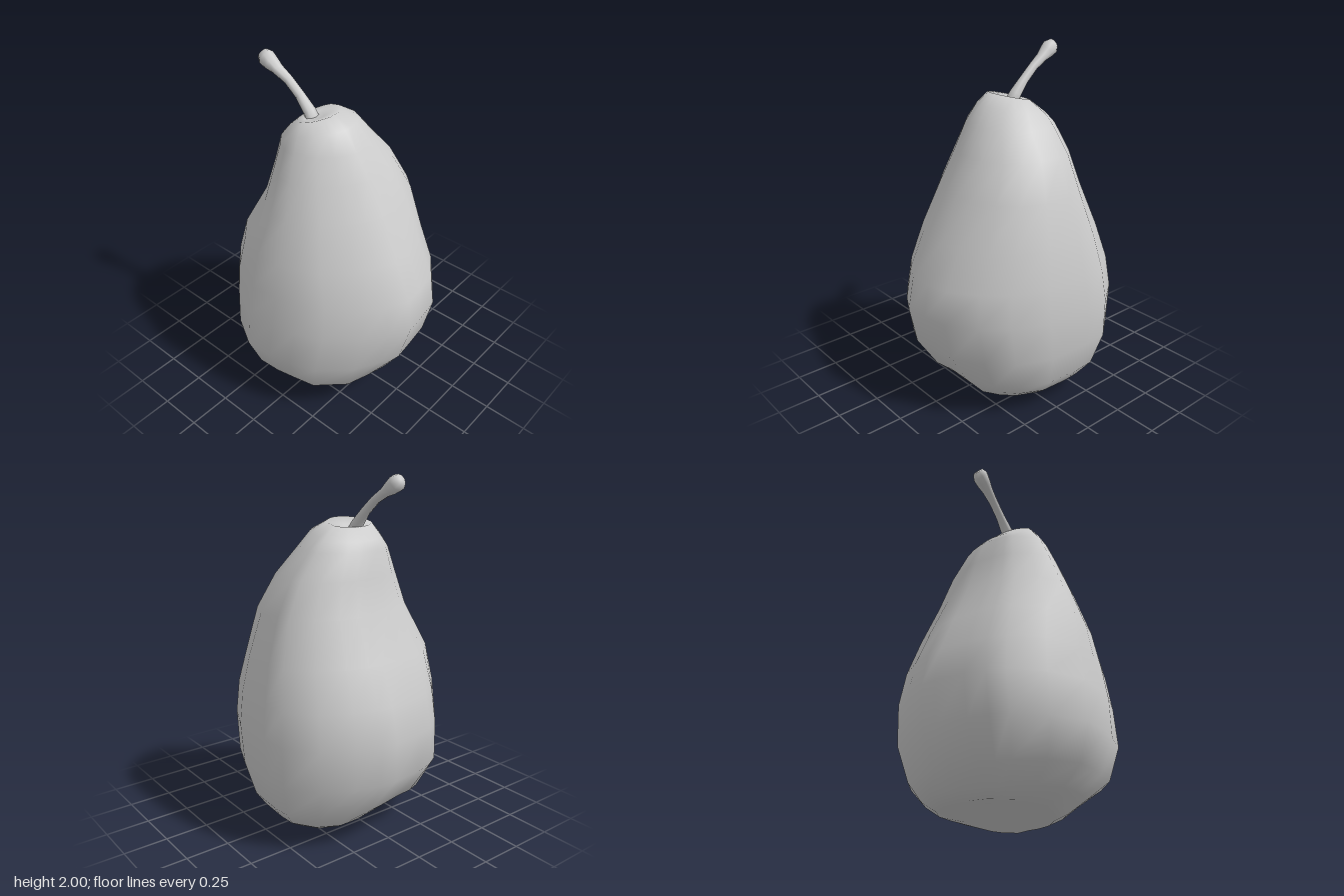
import * as THREE from 'three';

// Joins closed rings of points (bottom to top) into one smooth, capped skin.
function loft(rings) {
  const n = rings[0].length, pos = [], index = [];
  rings.forEach((ring) => ring.forEach((p) => pos.push(p.x, p.y, p.z)));
  for (let i = 0; i < rings.length - 1; i++) {
    for (let j = 0; j < n; j++) {
      const k = (j + 1) % n;
      const a = i * n + j, b = i * n + k, c = a + n, d = b + n;
      index.push(a, b, d, a, d, c);
    }
  }
  // Close both ends with a fan around the ring's middle
  const cap = (ring, start, up) => {
    const m = ring.reduce((s, p) => s.add(p), new THREE.Vector3()).divideScalar(n);
    const mid = pos.length / 3;
    pos.push(m.x, m.y, m.z);
    for (let j = 0; j < n; j++) {
      const a = start + j, b = start + (j + 1) % n;
      if (up) index.push(a, b, mid); else index.push(b, a, mid);
    }
  };
  cap(rings[0], 0, false);
  cap(rings[rings.length - 1], (rings.length - 1) * n, true);
  const g = new THREE.BufferGeometry();
  g.setAttribute('position', new THREE.Float32BufferAttribute(pos, 3));
  g.setIndex(index);
  g.computeVertexNormals();
  return g;
}

// Lumpy cross-section, from the front ridge round by the left side (x, z)
const outline = [
  [-0.08, 0.61], [0.05, 0.595], [0.2, 0.572], [0.355, 0.46], [0.47, 0.33], [0.565, 0.13],
  [0.58, -0.14], [0.57, -0.295], [0.445, -0.465], [0.28, -0.555], [0.14, -0.6], [0.04, -0.61],
  [-0.14, -0.59], [-0.255, -0.56], [-0.34, -0.51], [-0.48, -0.36], [-0.58, -0.17],
  [-0.57, 0], [-0.535, 0.14], [-0.47, 0.295], [-0.32, 0.46], [-0.2, 0.545],
];

// Levels: y, min x, max x, front z, back z, slope of y along z
const levels = [
  [0.05, -0.1, 0.12, 0.09, -0.12, -0.14],
  [0.034, -0.23, 0.28, 0.19, -0.21, -0.19],
  [0.058, -0.3, 0.38, 0.29, -0.33, -0.04],
  [0.12, -0.39, 0.46, 0.36, -0.4, 0],
  [0.21, -0.51, 0.525, 0.44, -0.5, 0],
  [0.4, -0.58, 0.575, 0.555, -0.595, 0],
  [0.63, -0.56, 0.58, 0.61, -0.61, 0],
  [0.82, -0.525, 0.56, 0.58, -0.57, 0],
  [1.03, -0.485, 0.52, 0.48, -0.48, 0],
  [1.27, -0.4, 0.445, 0.355, -0.372, 0],
  [1.46, -0.33, 0.36, 0.25, -0.32, 0],
  [1.6, -0.27, 0.25, 0.18, -0.285, 0],
  [1.675, -0.225, 0.19, 0.105, -0.245, 0.16],
  [1.735, -0.175, 0.1, 0.015, -0.17, 0.22],
  [1.71, -0.1, 0.01, -0.06, -0.15, 0.2],
];

// Swellings and dents: centre x, y, z, reach, outward push
const lumps = [
  [-0.4, 0.2, 0.34, 0.2, 0.075],
  [0.42, 0.27, 0.36, 0.18, 0.03],
  [0.24, 1.32, 0.22, 0.22, 0.04],
  [-0.38, 0.98, -0.36, 0.22, 0.045],
  [-0.08, 0.13, -0.4, 0.18, -0.055],
  [0.27, 0.12, -0.34, 0.14, 0.035],
  [0.04, 0.1, 0.42, 0.12, -0.035],
];

function fruitPoint([ox, oz], [y0, x0, x1, zf, zb, slope]) {
  const zc = (zf + zb) / 2;
  const p = new THREE.Vector3(
    (x0 + x1) / 2 + (ox / 0.58) * (x1 - x0) / 2, y0, zc + (oz / 0.61) * (zf - zb) / 2);
  p.y += slope * (p.z - zc);
  // Hollow between the two lobes of the base
  p.y += 0.018 * Math.exp(-((p.x / 0.1) ** 2) - (y0 / 0.15) ** 2);
  const out = new THREE.Vector3(p.x, 0, p.z).normalize();
  const push = lumps.reduce((sum, [x, y, z, reach, amount]) =>
    sum + amount * Math.exp(-p.distanceToSquared(new THREE.Vector3(x, y, z)) / reach ** 2), 0);
  return p.addScaledVector(out, push);
}

function fruitGeometry() {
  return loft(levels.map((level) => outline.map((o) => fruitPoint(o, level))));
}

// Stem stations: x, y, z, half width, half thickness
const stations = [
  [-0.045, 1.67, -0.11, 0.046, 0.036],
  [-0.045, 1.73, -0.145, 0.038, 0.03],
  [-0.046, 1.8, -0.21, 0.028, 0.025],
  [-0.05, 1.865, -0.285, 0.028, 0.024],
  [-0.058, 1.908, -0.355, 0.036, 0.027],
  [-0.063, 1.933, -0.395, 0.045, 0.04],
  [-0.066, 1.957, -0.43, 0.047, 0.048],
  [-0.067, 1.974, -0.455, 0.03, 0.034],
];

function stemGeometry() {
  const centres = stations.map(([x, y, z]) => new THREE.Vector3(x, y, z));
  const side = new THREE.Vector3(1, 0, 0);
  const last = centres.length - 1;
  return loft(stations.map(([, , , w, t], i) => {
    const dir = centres[Math.min(i + 1, last)].clone().sub(centres[Math.max(i - 1, 0)]).normalize();
    const normal = side.clone().cross(dir).normalize();
    return Array.from({ length: 8 }, (_, j) => {
      const a = (j / 8) * Math.PI * 2;
      return centres[i].clone()
        .addScaledVector(side, Math.sin(a) * w)
        .addScaledVector(normal, Math.cos(a) * t);
    });
  }));
}

export function createModel() {
  const grey = new THREE.MeshStandardMaterial({ color: 0xcccccc });
  grey.name = 'plain grey';
  const model = new THREE.Group();
  model.name = 'pear';
  const add = (name, geometry) => {
    const mesh = new THREE.Mesh(geometry, grey);
    mesh.name = name;
    model.add(mesh);
  };
  add('fruit', fruitGeometry());
  add('stem', stemGeometry());
  return model;
}
